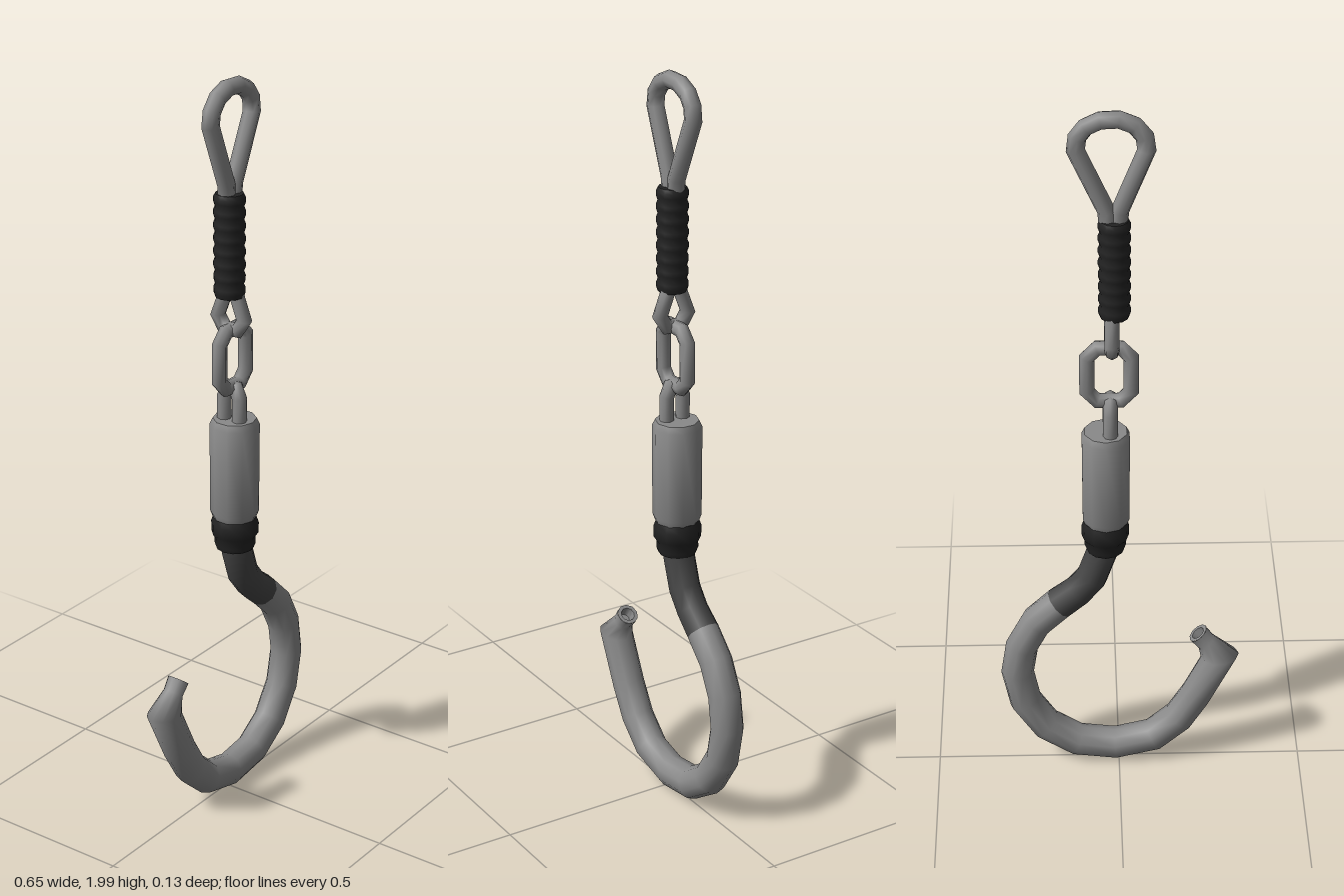
import * as THREE from 'three';
import { toCreasedNormals } from 'three/addons/utils/BufferGeometryUtils.js';

const mat = (name, color) => {
  const m = new THREE.MeshStandardMaterial({ color });
  m.name = name;
  return m;
};

// Round bar swept along points in the XY plane, mitred at every point.
// radius is a number or a function of the point index.
function sweep(points, radius, sides, closed = false) {
  const pts = points.map(([x, y]) => new THREE.Vector2(x, y));
  const n = pts.length, pos = [], idx = [];
  for (let i = 0; i < n; i++) {
    const prev = pts[closed ? (i + n - 1) % n : Math.max(i - 1, 0)];
    const next = pts[closed ? (i + 1) % n : Math.min(i + 1, n - 1)];
    const p = pts[i];
    let a = p.clone().sub(prev), b = next.clone().sub(p);
    if (a.lengthSq() === 0) a = b.clone();
    if (b.lengthSq() === 0) b = a.clone();
    a.normalize();
    b.normalize();
    const t = a.clone().add(b).normalize();
    const mitre = 1 / Math.max(t.dot(a), 0.6);
    const r = typeof radius === 'function' ? radius(i) : radius;
    for (let j = 0; j < sides; j++) {
      const ang = (j / sides) * Math.PI * 2;
      const c = Math.cos(ang) * r * mitre;
      pos.push(p.x - t.y * c, p.y + t.x * c, Math.sin(ang) * r);
    }
  }
  for (let i = 0; i < (closed ? n : n - 1); i++) {
    const k = (i + 1) % n;
    for (let j = 0; j < sides; j++) {
      const m = (j + 1) % sides;
      const A = i * sides + j, B = i * sides + m, C = k * sides + m, D = k * sides + j;
      idx.push(A, B, C, A, C, D);
    }
  }
  const g = new THREE.BufferGeometry();
  g.setAttribute('position', new THREE.Float32BufferAttribute(pos, 3));
  g.setIndex(idx);
  g.computeVertexNormals();
  return g;
}

const lathe = (profile, sides) => toCreasedNormals(
  new THREE.LatheGeometry(profile.map(([r, y]) => new THREE.Vector2(r, y)), sides), 0.9);

export function createModel() {
  const model = new THREE.Group();
  model.name = 'hookOnChain';
  const steel = mat('steelGrey', 0x8a8a8a);
  const sleeve = mat('sleeveDarkGrey', 0x464646);
  const rubber = mat('wrapBlack', 0x232323);

  const add = (name, geometry, material, x = 0, y = 0) => {
    const mesh = new THREE.Mesh(geometry, material);
    mesh.name = name;
    mesh.position.set(x, y, 0);
    model.add(mesh);
    return mesh;
  };

  // Hook: dark neck first, then the bare bend and the narrowed tip
  const path = [
    [0.035, 0.78], [0.045, 0.71], [0.072, 0.63], [0.11, 0.582], [0.161, 0.54],
    [0.222, 0.48], [0.263, 0.4], [0.277, 0.31], [0.257, 0.21], [0.2, 0.122],
    [0.115, 0.066], [0.01, 0.052], [-0.095, 0.078], [-0.165, 0.142],
    [-0.212, 0.222], [-0.275, 0.355], [-0.237, 0.403], [-0.214, 0.432],
  ];
  const sides = 10, neckRings = 4, last = path.length - 1;
  const hookRadius = i => (i === last ? 0.029 : i === last - 1 ? 0.027 : i < 4 ? 0.042 : 0.044);
  const hook = sweep(path, hookRadius, sides);
  hook.addGroup(0, neckRings * sides * 6, 0);
  hook.addGroup(neckRings * sides * 6, (last - neckRings) * sides * 6, 1);
  add('hook', hook, [sleeve, steel]);

  // Recessed end of the tip
  const tip = add('tipSocket', lathe([[0.029, 0], [0.019, 0], [0.015, -0.03], [0, -0.03]], sides),
    steel, path[last][0], path[last][1]);
  tip.rotation.z = -Math.atan2(0.023, 0.029);

  // Collar and swivel barrel
  add('collar', lathe([
    [0, 0.722], [0.05, 0.722], [0.055, 0.735], [0.054, 0.755], [0.062, 0.765],
    [0.063, 0.795], [0.056, 0.814], [0, 0.814],
  ], 12), rubber, 0.036);
  add('swivelBarrel', lathe([
    [0, 0.812], [0.058, 0.812], [0.064, 0.828], [0.065, 1.075], [0.057, 1.092], [0, 1.092],
  ], 10), steel, 0.034);

  // Staple on top of the barrel, crossing the chain link
  const staple = sweep([
    [0.024, 1.07], [0.024, 1.155], [0.012, 1.182], [-0.012, 1.182], [-0.024, 1.155], [-0.024, 1.07],
  ], 0.019, 8);
  add('swivelEye', staple.rotateY(Math.PI / 2), steel, 0.022);

  // Chain link with cut corners
  add('chainLink', sweep([
    [0.056, -0.05], [0.056, 0.05], [0.03, 0.078], [-0.03, 0.078],
    [-0.056, 0.05], [-0.056, -0.05], [-0.03, -0.078], [0.03, -0.078],
  ], 0.0195, 8, true), steel, 0.025, 1.263);

  // Lower eye coming out of the wrap
  const eye = sweep([
    [0.014, 1.47], [0.02, 1.43], [0.041, 1.375], [0.02, 1.343],
    [-0.02, 1.343], [-0.041, 1.375], [-0.02, 1.43], [-0.014, 1.47],
  ], 0.019, 8);
  add('lowerEye', eye.rotateY(Math.PI / 2), steel, 0.018);

  // Ridged cord wrap
  const wrap = [[0, 1.435]];
  const turns = 8, pitch = 0.272 / turns;
  for (let i = 0; i < turns; i++) {
    const y = 1.435 + i * pitch;
    wrap.push([0.037, y], [0.041, y + pitch * 0.35], [0.041, y + pitch * 0.7]);
  }
  wrap.push([0.036, 1.707], [0, 1.707]);
  add('cordWrap', lathe(wrap, 12), rubber, 0.011);

  // Teardrop hanging loop
  add('hangingLoop', sweep([
    [0.026, 1.68], [0.03, 1.73], [0.104, 1.895], [0.1, 1.93], [0.08, 1.957], [0.045, 1.974],
    [0, 1.976], [-0.038, 1.96], [-0.062, 1.93], [-0.067, 1.895], [-0.002, 1.73], [0, 1.68],
  ], 0.0225, 8), steel);

  return model;
}
